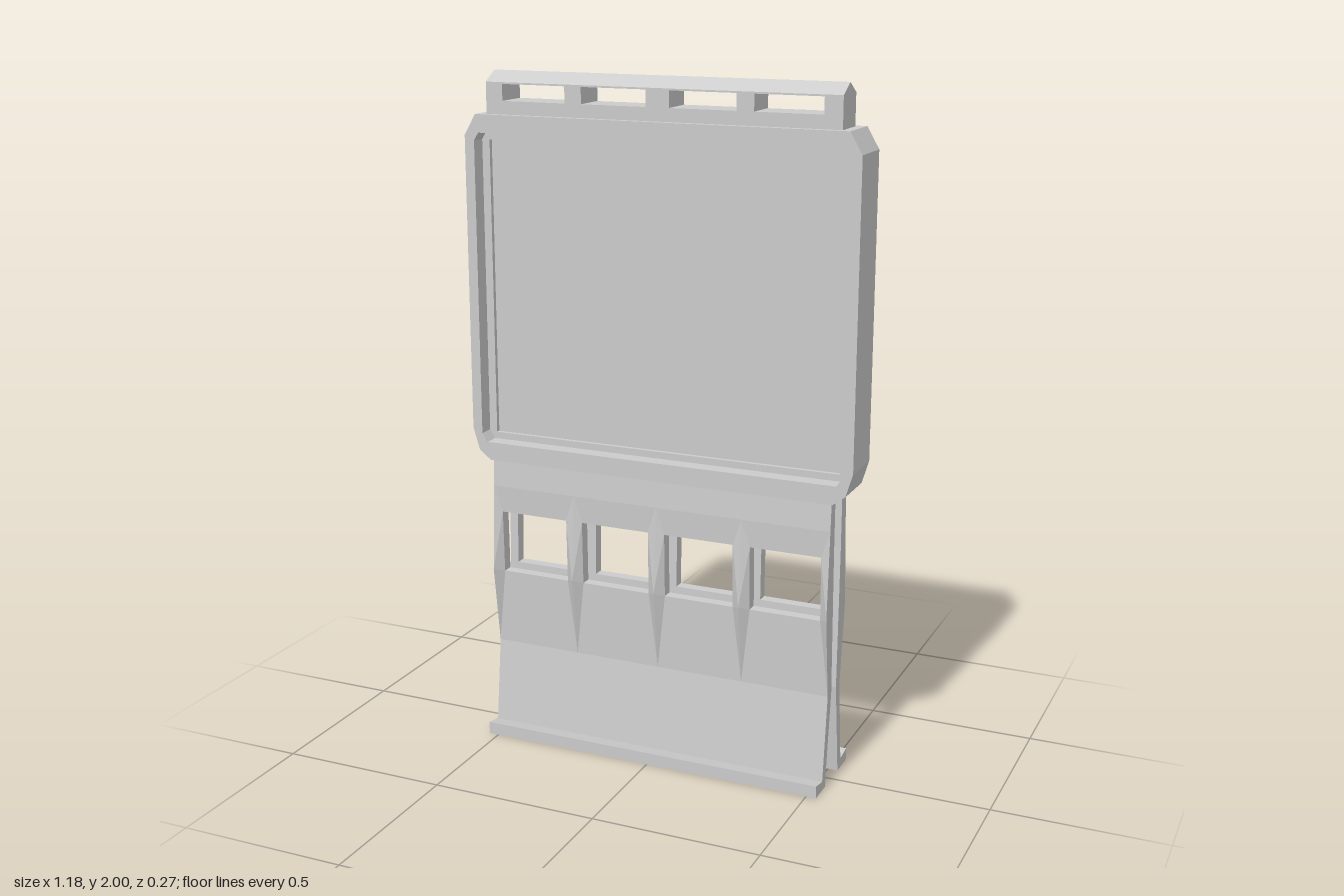
import * as THREE from 'three';

const material = new THREE.MeshStandardMaterial({ color: 0xcccccc, flatShading: true });
const HALF = 0.53; // half width of the legs and top rail

function add(parent, name, geometry) {
  const mesh = new THREE.Mesh(geometry, material);
  mesh.name = name;
  parent.add(mesh);
  return mesh;
}

const toPoints = (list) => list.map(([x, y]) => new THREE.Vector2(x, y));

// Plate in the XY plane, centred on z = 0
function plate(outline, holes, depth) {
  const shape = new THREE.Shape(toPoints(outline));
  for (const hole of holes) shape.holes.push(new THREE.Path(toPoints(hole)));
  return new THREE.ExtrudeGeometry(shape, { depth, bevelEnabled: false }).translate(0, 0, -depth / 2);
}

// Profile given as [z, y], swept along x between x0 and x1
function sweep(profile, x0, x1) {
  const geometry = new THREE.ExtrudeGeometry(new THREE.Shape(toPoints(profile)), { depth: x1 - x0, bevelEnabled: false });
  return geometry.rotateY(-Math.PI / 2).translate(x1, 0, 0);
}

const rect = (x0, x1, y0, y1) => [[x0, y0], [x1, y0], [x1, y1], [x0, y1]];

// Makes a symmetric closed outline from its right half, listed bottom to top
const mirrored = (right) => [...right, ...right.map(([x, y]) => [-x, y]).reverse()];

// Faceted rib with a peaked ridge; left and right are its half widths
function ribGeometry(left, right) {
  const ridge = [0, 0.52, 0.083];
  const ring = [
    [0, 0.78, 0.067], [-left, 0.70, 0.064], [-left, 0.51, 0.059],
    [0, 0.28, 0.052], [right, 0.51, 0.059], [right, 0.70, 0.064],
  ];
  const positions = [];
  ring.forEach((p, i) => positions.push(...ridge, ...p, ...ring[(i + 1) % ring.length]));
  const geometry = new THREE.BufferGeometry();
  geometry.setAttribute('position', new THREE.Float32BufferAttribute(positions, 3));
  geometry.computeVertexNormals();
  return geometry;
}

function createLeg() {
  const leg = new THREE.Group();
  // Upper band under the frame
  add(leg, 'upperBand', sweep([[0.03, 0.70], [0.064, 0.70], [0.067, 0.78], [0.062, 0.87], [0.03, 0.87]], -HALF, HALF));
  // Lower skirt that kinks outward and ends in a foot lip
  add(leg, 'skirtAndFoot', sweep([
    [0.057, 0], [0.135, 0], [0.135, 0.037], [0.082, 0.028],
    [0.052, 0.28], [0.059, 0.51], [0.026, 0.51], [0.021, 0.28],
  ], -HALF, HALF));
  // Posts between the openings, each with an outer rib
  for (let i = -2; i <= 2; i++) {
    const x = i * HALF / 2;
    const left = i === -2 ? 0 : 0.026;
    const right = i === 2 ? 0 : 0.026;
    add(leg, 'post', sweep([[0.026, 0.51], [0.059, 0.51], [0.064, 0.70], [0.03, 0.70]], x - left, x + right));
    add(leg, 'rib', ribGeometry(left, right)).position.x = x;
  }
  return leg;
}

export function createModel() {
  const model = new THREE.Group();
  model.name = 'framedPanelStand';

  // Frame with cut corners, recessed on both faces
  const frame = new THREE.Group();
  frame.name = 'frame';
  model.add(frame);
  const outer = mirrored([[0.535, 0.86], [0.572, 0.888], [0.592, 0.955], [0.592, 1.82], [0.557, 1.88]]);
  const recess = mirrored([[0.545, 0.915], [0.562, 0.94], [0.562, 1.805], [0.548, 1.828]]);
  const opening = rect(-0.538, 0.538, 0.935, 1.805);
  add(frame, 'rim', plate(outer, [recess], 0.144));
  add(frame, 'innerLedge', plate(recess, [opening], 0.05));
  add(frame, 'panel', plate(opening, [], 0.024));

  // Top rail with four slots and a gabled cap
  const rail = new THREE.Group();
  rail.name = 'topRail';
  model.add(rail);
  const slots = [-0.38, -0.133, 0.133, 0.38].map((x) => rect(x - 0.098, x + 0.098, 1.918, 1.965));
  add(rail, 'slottedRail', plate(rect(-HALF, HALF, 1.875, 1.97), slots, 0.104));
  add(rail, 'gableCap', sweep([[-0.052, 1.97], [0.052, 1.97], [0, 2]], -HALF, HALF));

  // Matching front and back legs
  const frontLeg = createLeg();
  frontLeg.name = 'frontLeg';
  const backLeg = createLeg();
  backLeg.name = 'backLeg';
  backLeg.rotation.y = Math.PI;
  model.add(frontLeg, backLeg);

  return model;
}
